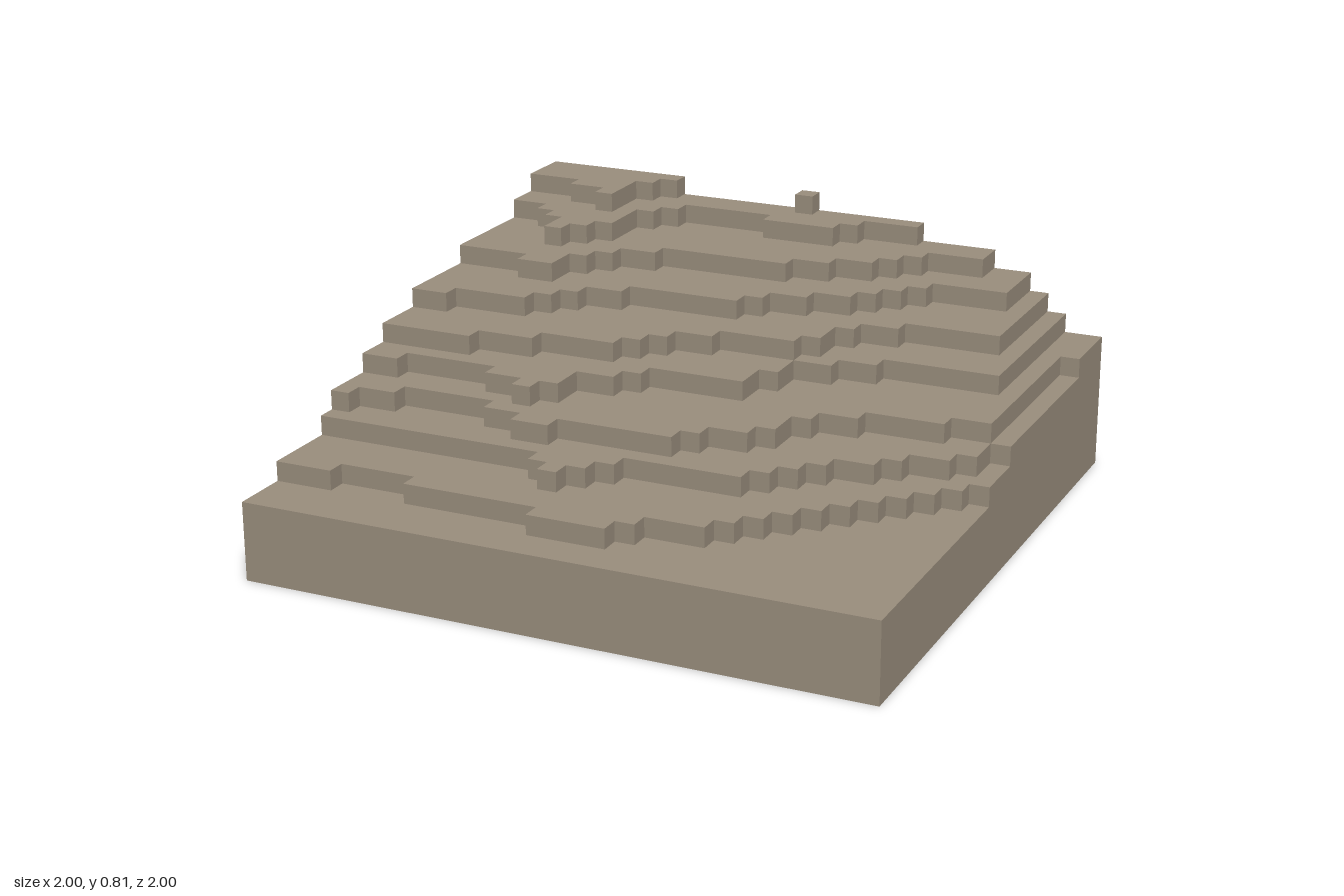
import * as THREE from 'three';

const CELL = 2 / 32;
const BASE = 0.25;

// Contour of each terrace, lowest first: [column, depth from the back], both in cells.
// Depths are interpolated between the keys and snapped to the grid; the last key is the right end.
const CONTOURS = [
  [[0, 29], [4, 28.1], [17, 30], [19, 28], [21, 28], [32, 17]],
  [[0, 25], [11, 24.9], [13, 27], [16, 24], [21, 24], [24, 21], [30, 17], [32, 13]],
  [[0, 23.7], [5, 21.6], [11, 24], [12, 23.3], [17, 22.6], [21, 20], [23, 16.9], [30, 15], [32, -7]],
  [[0, 20.9], [4, 19.6], [9, 21.7], [11, 19.4], [14, 17.4], [18, 16.8], [20, 13.3], [24, 11.4], [30, 10.6]],
  [[0, 19.3], [4, 18.6], [11, 16.6], [14, 13.8], [19, 12.9], [22, 8.85], [29, 7.5]],
  [[0, 16], [5, 14.6], [8, 11.7], [15, 10.7], [20, 7.6], [24, 4], [28, 4]],
  [[0, 10.7], [5, 11.9], [6, 10], [9, 7.6], [16, 6.6], [20, 4.6], [23, 2.2], [26, 1.8]],
  [[0, 5], [1, 4.6], [4, 8.6], [6, 7], [7, 4], [9, 2], [17, 2.9], [19, 1.2], [22, 0.8]],
  [[0, 2.6], [5, 4.6], [6, 2], [8, 0]],
];

// Whole-cell depth of a contour at one column
function depthAt(keys, column) {
  const next = keys.findIndex(([c]) => c > column);
  const [c0, d0] = keys[next - 1];
  const [c1, d1] = keys[next];
  return Math.round(d0 + ((d1 - d0) * (column - c0)) / (c1 - c0));
}

// One-cell-high slab with a straight back and a stepped front edge
function terraceGeometry(keys) {
  const shape = new THREE.Shape();
  const lineTo = (column, depth) => shape.lineTo(-1 + column * CELL, 1 - depth * CELL);
  const end = keys[keys.length - 1][0];
  let depth = depthAt(keys, 0);
  shape.moveTo(-1, 1);
  lineTo(0, depth);
  for (let column = 1; column < end; column++) {
    const nextDepth = depthAt(keys, column);
    if (nextDepth === depth) continue;
    lineTo(column, depth);
    lineTo(column, nextDepth);
    depth = nextDepth;
  }
  lineTo(end, depth);
  lineTo(end, 0);
  return new THREE.ExtrudeGeometry(shape, { depth: CELL, bevelEnabled: false }).rotateX(-Math.PI / 2);
}

export function createModel() {
  const group = new THREE.Group();
  group.name = 'terracedHillside';
  const earth = new THREE.MeshStandardMaterial({ color: 0x9b8f7e });
  earth.name = 'earth';

  const add = (name, geometry, x, y, z) => {
    const mesh = new THREE.Mesh(geometry, earth);
    mesh.name = name;
    mesh.position.set(x, y, z);
    group.add(mesh);
  };

  // Square ground block
  add('baseBlock', new THREE.BoxGeometry(2, BASE, 2), 0, BASE / 2, 0);

  // Terraces stacked upwards towards the back
  CONTOURS.forEach((keys, i) => add(`terrace${i + 1}`, terraceGeometry(keys), 0, BASE + i * CELL, 0));

  // Single block on the back ridge
  add('ridgeBlock', new THREE.BoxGeometry(CELL, CELL, CELL), -CELL / 2, BASE + 8.5 * CELL, -1 + CELL / 2);

  return group;
}
